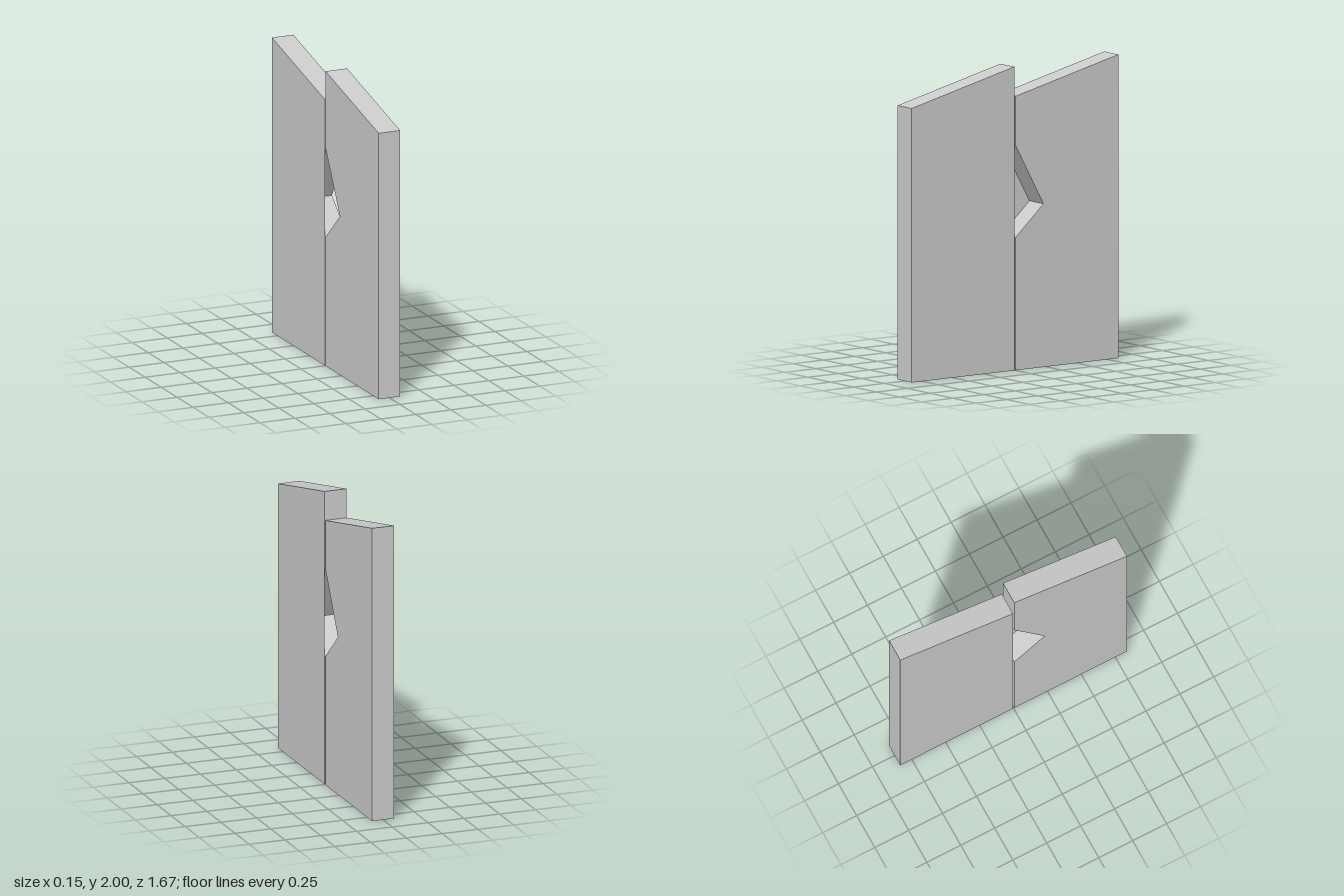
import * as THREE from 'three';

const THICK = 0.154, END = 0.836, GAP = 0.005;
const material = new THREE.MeshStandardMaterial({ color: 0xcccccc, flatShading: true, side: THREE.DoubleSide });

// Recess outline in (z, y): two corners on the inner edge and the tip
function recessPoints(side) {
  return [[side * GAP, 1.48], [side * 0.23, 1.075], [side * GAP, 0.875]]
    .map(([z, y]) => new THREE.Vector2(z, y));
}

// One upright panel with a sloping top; side is +1 for front, -1 for back
function makePanel(side, name) {
  const group = new THREE.Group();
  group.name = name;
  const inner = side * GAP, outer = side * END;
  const innerTop = side > 0 ? 2 : 1.805;
  const outerTop = side > 0 ? 1.805 : 2;
  const recess = recessPoints(side);

  // Slab notched at its inner edge
  const outline = [
    new THREE.Vector2(inner, 0), new THREE.Vector2(outer, 0),
    new THREE.Vector2(outer, outerTop), new THREE.Vector2(inner, innerTop),
    ...recess,
  ];
  const slabGeometry = new THREE.ExtrudeGeometry(new THREE.Shape(outline), { depth: THICK, bevelEnabled: false });
  slabGeometry.translate(0, 0, -THICK / 2).rotateY(-Math.PI / 2);
  const slab = new THREE.Mesh(slabGeometry, material);
  slab.name = name + 'Slab';

  // Thin skin closing the recess on one face
  const skinGeometry = new THREE.ShapeGeometry(new THREE.Shape(recess));
  skinGeometry.rotateY(-Math.PI / 2).translate(side * THICK / 2, 0, 0);
  // Outward normal must match the face the skin lies on
  if (side > 0) {
    skinGeometry.index.array.reverse();
    const normal = skinGeometry.attributes.normal;
    for (let i = 0; i < normal.count; i++) normal.setXYZ(i, 1, 0, 0);
  }
  const skin = new THREE.Mesh(skinGeometry, material);
  skin.name = name + 'RecessSkin';

  group.add(slab, skin);
  return group;
}

export function createModel() {
  const model = new THREE.Group();
  model.name = 'twinPanels';
  model.add(makePanel(1, 'frontPanel'), makePanel(-1, 'backPanel'));
  return model;
}
